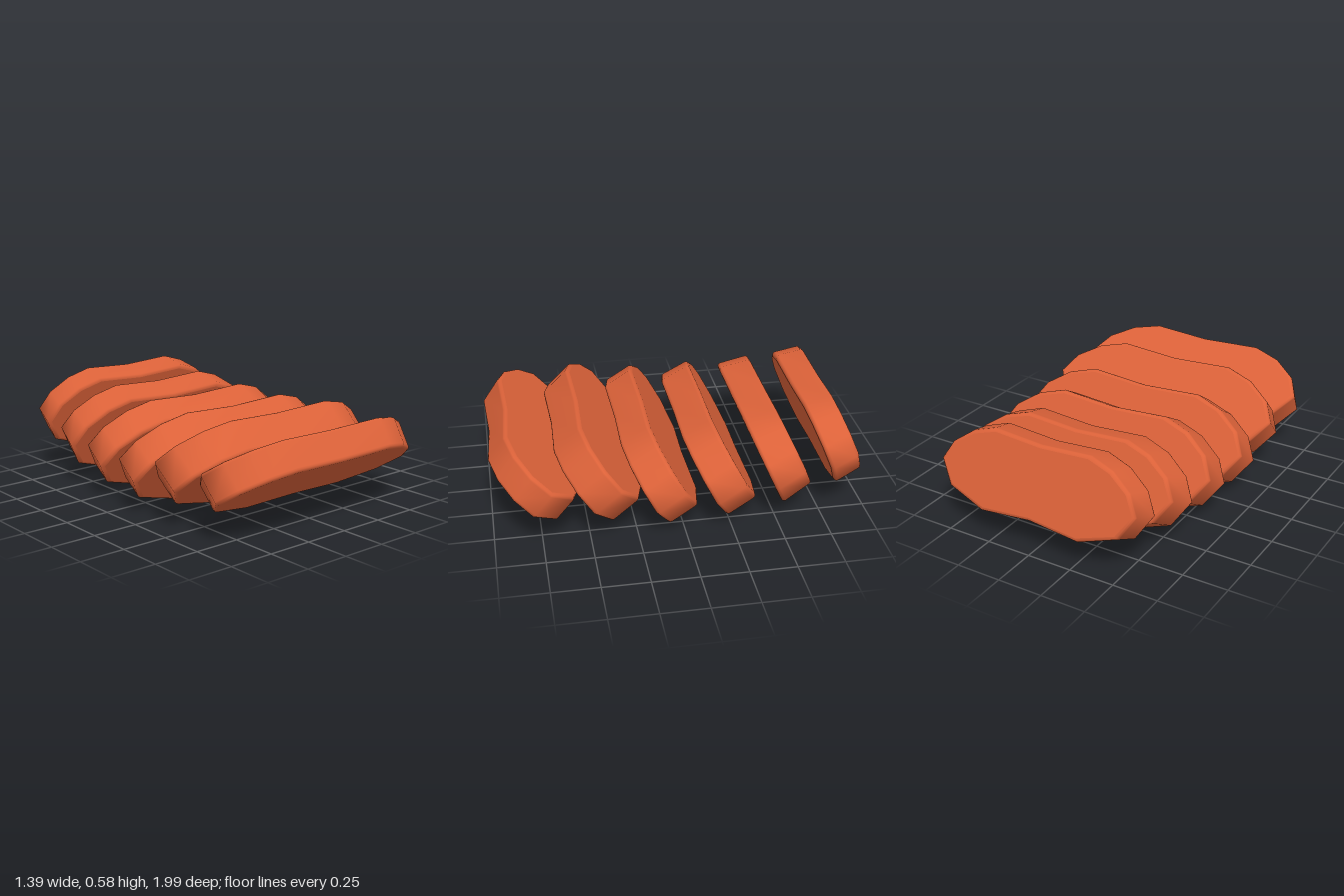
import * as THREE from 'three';

// Right half of the slice outline, from bottom notch to top notch (fractions of half width, half height)
const HALF = [[0.5, -1], [0.87, -0.65], [1, -0.06], [0.905, 0.42], [0.715, 0.8], [0.49, 1]];
const OUTLINE = [
  [0, -0.88], ...HALF, [0, 0.92],
  ...HALF.slice().reverse().map(([x, y]) => [-x, y]),
];

// Slices from front to back: z, y, tilt in degrees, thickness,
// half width front / back, half height front / back
const SLICES = [
  [0.757, 0.313, 53.5, 0.175, 0.67, 0.685, 0.245, 0.248],
  [0.425, 0.302, 42.5, 0.2, 0.68, 0.695, 0.245, 0.245],
  [0.099, 0.262, 32.3, 0.185, 0.692, 0.682, 0.247, 0.25],
  [-0.222, 0.268, 29.7, 0.185, 0.675, 0.66, 0.245, 0.246],
  [-0.546, 0.303, 24, 0.185, 0.652, 0.622, 0.246, 0.226],
  [-0.847, 0.362, 20, 0.165, 0.61, 0.585, 0.231, 0.219],
];

// Lofted slab with rounded rims and flat faces
function sliceGeometry(t, wf, wb, hf, hb) {
  const r = 0.02, steps = 3, n = OUTLINE.length;
  const rings = [];
  for (let i = 0; i <= steps; i++) {
    const a = (i / steps) * Math.PI / 2;
    rings.push([t / 2 - r + r * Math.cos(a), r * (1 - Math.sin(a)), wf, hf]);
  }
  for (let i = steps; i >= 0; i--) {
    const a = (i / steps) * Math.PI / 2;
    rings.push([-t / 2 + r - r * Math.cos(a), r * (1 - Math.sin(a)), wb, hb]);
  }
  const pos = [], idx = [];
  const addRing = ([z, inset, w, h]) => {
    for (const [x, y] of OUTLINE) pos.push(x * (w - inset), y * (h - inset), z);
  };
  // rim and side wall
  rings.forEach(addRing);
  for (let k = 0; k < rings.length - 1; k++) {
    for (let j = 0; j < n; j++) {
      const a = k * n + j, b = k * n + (j + 1) % n;
      idx.push(a, a + n, b, b, a + n, b + n);
    }
  }
  // flat front and back faces
  for (const ring of [rings[0], rings[rings.length - 1]]) {
    const start = pos.length / 3;
    addRing(ring);
    pos.push(0, 0, ring[0]);
    for (let j = 0; j < n; j++) {
      const a = start + j, b = start + (j + 1) % n;
      if (ring === rings[0]) idx.push(start + n, a, b);
      else idx.push(start + n, b, a);
    }
  }
  const geo = new THREE.BufferGeometry();
  geo.setAttribute('position', new THREE.Float32BufferAttribute(pos, 3));
  geo.setIndex(idx);
  geo.computeVertexNormals();
  return geo;
}

export function createModel() {
  const model = new THREE.Group();
  model.name = 'slicedFillet';
  const flesh = new THREE.MeshStandardMaterial({ color: 0xdc6239 });
  flesh.name = 'orangeFlesh';

  // Row of leaning slices
  SLICES.forEach(([z, y, tilt, ...size], i) => {
    const slice = new THREE.Mesh(sliceGeometry(...size), flesh);
    slice.name = `slice${i + 1}`;
    slice.position.set(0, y, z);
    slice.rotation.x = THREE.MathUtils.degToRad(tilt);
    model.add(slice);
  });
  return model;
}
